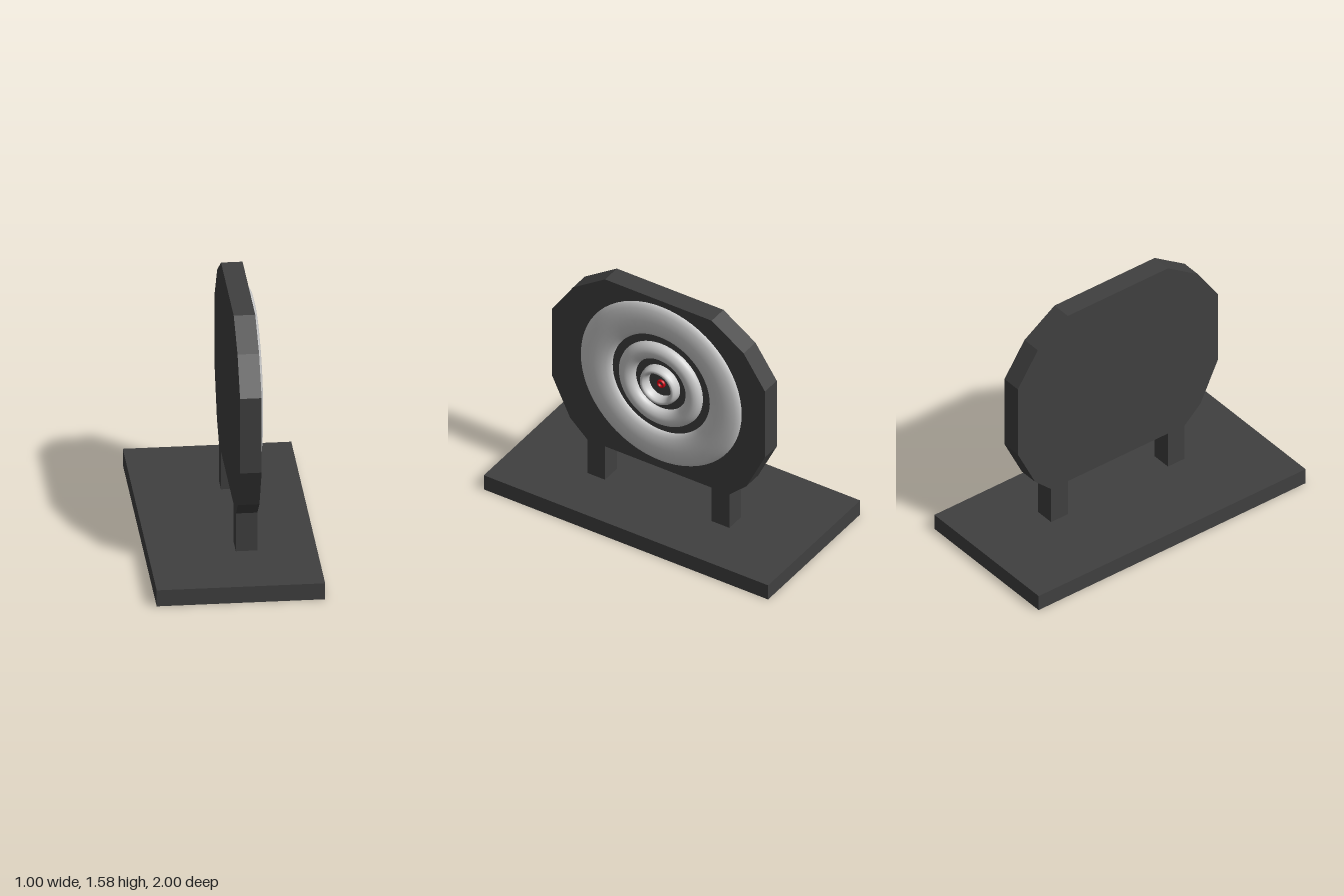
import * as THREE from 'three';

export function createModel() {
  const model = new THREE.Group();
  const dark = new THREE.MeshStandardMaterial({ color: 0x404040 });
  const light = new THREE.MeshStandardMaterial({ color: 0xcccccc });
  const red = new THREE.MeshStandardMaterial({ color: 0xcc0011 });

  const add = (name, geometry, material) => {
    const mesh = new THREE.Mesh(geometry, material);
    mesh.name = name;
    model.add(mesh);
    return mesh;
  };

  // Flat rectangular base
  add('base', new THREE.BoxGeometry(1, 0.104, 2), dark).position.y = 0.052;

  // Faceted board with two legs: one half outline, mirrored
  const half = [
    [0.375, 0.35], [0.375, 0.1], [0.5, 0.1], [0.5, 0.35], [0.62, 0.46],
    [0.75, 0.725], [0.75, 1.21], [0.6, 1.43], [0.375, 1.58],
  ];
  const outline = [...half, ...half.map(([u, v]) => [-u, v]).reverse()];
  const shape = new THREE.Shape(outline.map(([u, v]) => new THREE.Vector2(u, v)));
  const board = new THREE.ExtrudeGeometry(shape, { depth: 0.128, bevelEnabled: false });
  board.rotateY(Math.PI / 2);
  add('targetBoard', board, dark).position.x = 0.02;

  // Concentric rounded rings, squashed or stretched along the board's normal
  const ring = (name, inner, outer, height, material) => {
    const tube = (outer - inner) / 2;
    const geometry = new THREE.TorusGeometry((inner + outer) / 2, tube, 16, 64);
    geometry.scale(1, 1, height / tube);
    geometry.rotateY(Math.PI / 2);
    add(name, geometry, material).position.set(0.15, 0.975, -0.022);
  };
  ring('outerRing', 0.342, 0.565, 0.038, light);
  ring('middleRing', 0.178, 0.292, 0.047, light);
  ring('innerRing', 0.084, 0.132, 0.056, light);
  ring('bullseye', 0.013, 0.028, 0.012, red);

  return model;
}
